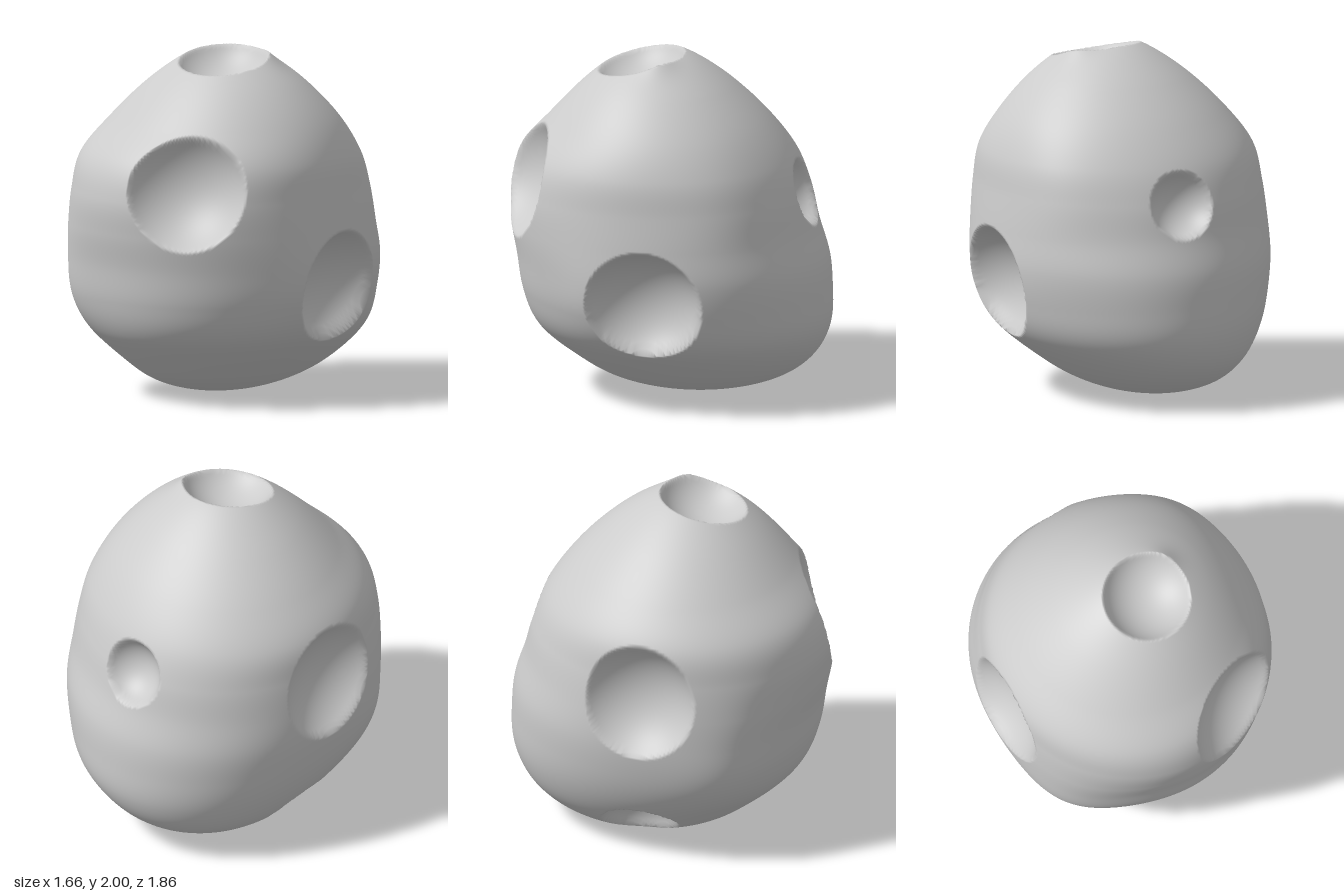
import * as THREE from 'three';
import { mergeVertices } from 'three/addons/utils/BufferGeometryUtils.js';

const V = (x, y, z) => new THREE.Vector3(x, y, z);

// Horizontal sections every 0.2 in height: [centre offset, width factor]
const spline = (rows) => new THREE.SplineCurve(rows.map(([c, k]) => new THREE.Vector2(c, k)));
const sectionX = spline([
  [-0.1, 0.98], [-0.05, 0.92], [0, 0.91], [0.01, 0.875], [0.01, 0.85], [0, 0.83],
  [-0.005, 0.825], [0, 0.84], [0.03, 0.8], [0.05, 0.735], [0.06, 0.65], [0.06, 0.62],
]);
const sectionZ = spline([
  [-0.13, 1.25], [-0.13, 1.11], [-0.08, 1.045], [-0.045, 0.965], [-0.02, 0.91], [0.03, 0.88],
  [0.06, 0.88], [0.07, 0.86], [0.055, 0.78], [0.06, 0.7], [0.07, 0.62], [0.07, 0.6],
]);

// Broad swellings of the body: direction, height, spread
const bulges = [
  [V(-0.78, -0.38, 0.52), 0.08, 0.16],
  [V(0.82, 0.2, -0.55), 0.035, 0.15],
  [V(0.88, -0.35, 0.36), 0.03, 0.08],
  [V(0.3, 0.95, -0.06), 0.03, 0.02],
].map(([dir, height, spread]) => ({ dir: dir.normalize(), height, spread }));

// Craters: rim centre, outward direction, rim radius, bowl depth
const craters = [
  [V(0.24, 1.22, 0.775), V(0.44, 0.44, 1), 0.32, 0.14],
  [V(0.75, 0.68, 0.025), V(1, -0.18, 0), 0.31, 0.15],
  [V(-0.77, 1.09, -0.03), V(-1, 0.03, 0), 0.32, 0.14],
  [V(0.1, 1.925, 0.15), V(-0.03, 1, 0.2), 0.24, 0.12],
  [V(0.025, 1.19, -0.775), V(0, 0.33, -1), 0.185, 0.11],
  [V(-0.53, 0.19, -0.02), V(-0.62, -0.72, -0.25), 0.2, 0.1],
].map(([rim, out, radius, depth]) => {
  const R = (radius * radius + depth * depth) / (2 * depth);
  return new THREE.Sphere(rim.addScaledVector(out.normalize(), R - depth), R);
});

// Uneven egg-shaped body with its swellings
function bodyPoint(d) {
  const y = 1 + d.y * (d.y > 0 ? 1.03 : 1);
  const t = y / 2.2;
  const sx = sectionX.getPoint(t), sz = sectionZ.getPoint(t);
  const p = V(sx.x + d.x * sx.y, y, sz.x + d.z * sz.y);
  for (const { dir, height, spread } of bulges) {
    p.addScaledVector(dir, height * Math.exp(-d.distanceToSquared(dir) / spread));
  }
  return p;
}

// Push points inside a crater sphere inward onto its far wall
function carve(p, sphere) {
  const m = p.clone().sub(sphere.center);
  const c = m.lengthSq() - sphere.radius ** 2;
  if (c >= 0) return;
  const inward = V(0, 1, 0).sub(p).normalize();
  const b = m.dot(inward);
  p.addScaledVector(inward, -b + Math.sqrt(b * b - c));
}

export function createModel() {
  const group = new THREE.Group();
  group.name = 'asteroid';

  let geo = new THREE.IcosahedronGeometry(1, 80);
  geo.deleteAttribute('uv');
  geo.deleteAttribute('normal');
  geo = mergeVertices(geo, 1e-4);

  const pos = geo.attributes.position;
  const d = V(0, 0, 0);
  for (let i = 0; i < pos.count; i++) {
    d.fromBufferAttribute(pos, i).normalize();
    const p = bodyPoint(d);
    craters.forEach((s) => carve(p, s));
    pos.setXYZ(i, p.x, p.y, p.z);
  }

  // Centre and stand on the ground
  geo.computeBoundingBox();
  const { min, max } = geo.boundingBox;
  geo.translate(-(min.x + max.x) / 2, -min.y, -(min.z + max.z) / 2);
  geo.computeVertexNormals();

  const rock = new THREE.Mesh(geo, new THREE.MeshStandardMaterial({ color: 0xcccccc }));
  rock.name = 'crateredRock';
  group.add(rock);
  return group;
}
